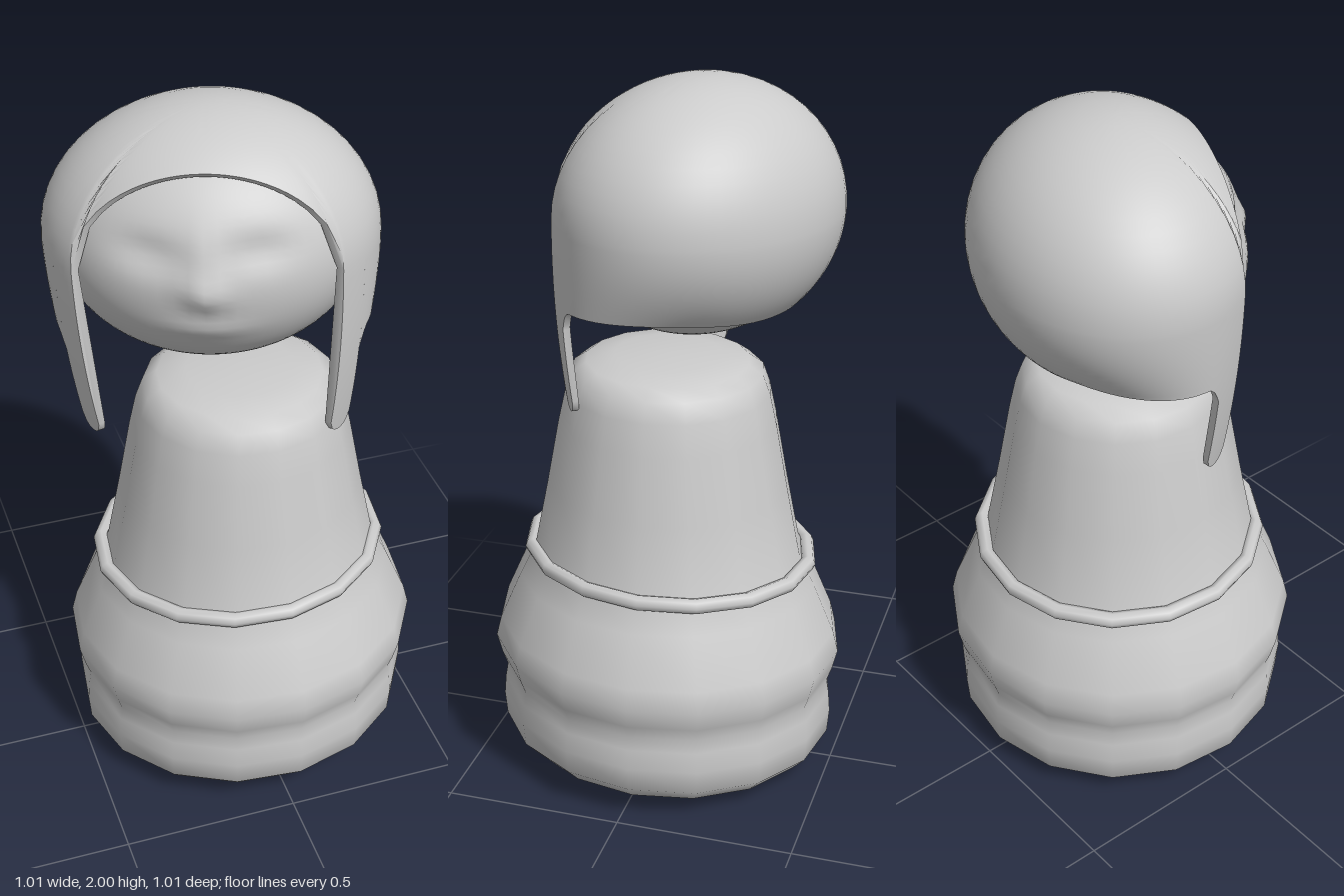
import * as THREE from 'three';
import { mergeVertices, toCreasedNormals } from 'three/addons/utils/BufferGeometryUtils.js';

const material = new THREE.MeshStandardMaterial({ color: 0xcccccc });
const { lerp, smoothstep, degToRad } = THREE.MathUtils;

function part(name, geometry) {
  const mesh = new THREE.Mesh(geometry, material);
  mesh.name = name;
  return mesh;
}

// Move every vertex of a geometry by a rule
function deform(geometry, rule) {
  const pos = geometry.attributes.position;
  const v = new THREE.Vector3();
  for (let i = 0; i < pos.count; i++) {
    rule(v.fromBufferAttribute(pos, i));
    pos.setXYZ(i, v.x, v.y, v.z);
  }
  return geometry;
}

// Weld seams and recompute smooth normals
function smooth(geometry) {
  geometry.deleteAttribute('uv');
  geometry.deleteAttribute('normal');
  const welded = mergeVertices(geometry, 1e-4);
  welded.computeVertexNormals();
  return welded;
}

// The robe leans slightly, less towards the shoulders
const lean = (v) => { v.y += 0.04 * (v.x + v.z) * Math.max(0, 1 - v.y / 1.5); };

function robe() {
  const profile = [
    [0, 0.012], [0.2, 0.015], [0.38, 0.025], [0.44, 0.045], [0.482, 0.09], [0.488, 0.16],
    [0.483, 0.22], [0.476, 0.26], [0.49, 0.3], [0.505, 0.36], [0.49, 0.42], [0.43, 0.56],
    [0.385, 0.65], [0.345, 0.85], [0.31, 1.04], [0.29, 1.13], [0.27, 1.185], [0.23, 1.213],
    [0.15, 1.228], [0, 1.235],
  ].map(([r, y]) => new THREE.Vector2(r, y));
  return smooth(deform(new THREE.LatheGeometry(profile, 16, 0.06), lean));
}

function belt() {
  const ring = new THREE.TorusGeometry(0.4, 0.022, 8, 16).rotateX(Math.PI / 2).rotateY(0.06);
  ring.translate(-0.005, 0.637, -0.008);
  return deform(ring, (v) => { v.y += 0.045 * (v.x + v.z); });
}

// Head with a small nose, lips and shallow eye sockets
function head() {
  const bump = (v, x, y, sx, sy) => Math.exp(-(((v.x - x) / sx) ** 2) - ((v.y - y) / sy) ** 2);
  const g = new THREE.SphereGeometry(1, 64, 48).scale(0.415, 0.335, 0.345);
  g.translate(0, -0.005, 0);
  return smooth(deform(g, (v) => {
    if (v.z <= 0) return;
    v.z += 0.028 * bump(v, 0, -0.005, 0.05, 0.045) + 0.012 * bump(v, 0, 0.07, 0.035, 0.08);
    v.z += 0.012 * bump(v, 0, -0.12, 0.1, 0.03);
    for (const s of [-1, 1]) v.z -= 0.022 * bump(v, s * 0.14, 0.09, 0.085, 0.045);
  }));
}

// Hair: a thick shell, open over the face, with a long lock on each side of it
function hair() {
  const W = 0.45, H = 0.36, D = 0.37, opening = 0.235;
  const faceEdge = Math.acos(opening / D);
  const lockEnd = faceEdge + degToRad(13);

  // Columns run round the head: angle, end of the upper arc, depth of the lower edge
  const half = [];
  for (let i = 0; i <= 14; i++) {
    const a = faceEdge * i / 14;
    half.push({ a, arc: Math.asin(Math.min(1, opening / (D * Math.cos(a)))), drop: 0 });
  }
  half[14].arc = Math.PI / 2;
  for (let i = 0; i <= 8; i++) {
    const s = i / 8;
    const tip = 0.04 * (1 - Math.sqrt(Math.max(0, 1 - (2 * s - 1) ** 2)));
    half.push({ a: lerp(faceEdge, lockEnd, s), arc: Math.PI / 2, drop: 0.535 - tip });
  }
  for (let i = 0; i <= 26; i++) {
    const a = lerp(lockEnd, Math.PI, (i / 26) ** 1.4);
    const fillet = 0.06 * Math.max(0, 1 - (a - lockEnd) / 0.12) ** 2;
    half.push({ a, arc: Math.PI / 2, drop: 0.225 + 0.025 * smoothstep(a, 1.7, 3) + fillet });
  }
  const mirrored = half.slice(1, -1).reverse().map((c) => ({ ...c, a: 2 * Math.PI - c.a }));
  const columns = [...half, ...mirrored];

  const rows = 28;
  const point = (c, row, inner) => {
    const s = row / rows;
    const theta = c.arc * Math.min(1, 2 * s);
    let r = Math.sin(theta), y = H * Math.cos(theta);
    if (s > 0.5 && c.drop > 0) {
      y = -c.drop * (2 * s - 1);
      const t = -y / H;
      const side = Math.min(c.a, 2 * Math.PI - c.a);
      const straight = 1 - smoothstep(side, degToRad(66), degToRad(135));
      r = lerp(Math.sqrt(Math.max(0, 1 - t * t)), 1 - 0.05 * t * t, straight);
    }
    const k = inner ? 0.95 : 1;
    return [W * r * k * Math.sin(c.a), y > 0 ? y * k : y, D * r * k * Math.cos(c.a)];
  };

  // Each column goes down the outside and back up the inside
  const positions = [], index = [];
  const n = 2 * (rows + 1);
  for (const c of columns) {
    for (let i = 0; i <= rows; i++) positions.push(...point(c, i, false));
    for (let i = rows; i >= 0; i--) positions.push(...point(c, i, true));
  }
  for (let j = 0; j < columns.length; j++) {
    const right = ((j + 1) % columns.length) * n;
    for (let i = 0; i < n - 1; i++) {
      const a = j * n + i, b = right + i;
      index.push(a, a + 1, b, a + 1, b + 1, b);
    }
  }
  const g = new THREE.BufferGeometry();
  g.setAttribute('position', new THREE.Float32BufferAttribute(positions, 3));
  g.setIndex(index);
  return toCreasedNormals(g, 0.8);
}

export function createModel() {
  const model = new THREE.Group();
  model.name = 'figurine';
  model.add(part('robe', robe()), part('belt', belt()));

  // The head floats above the robe, turned and tipped a little to its right
  const headGroup = new THREE.Group();
  headGroup.name = 'headGroup';
  headGroup.position.set(-0.055, 1.64, -0.075);
  headGroup.rotation.set(0, -0.35, 0.03, 'YXZ');
  headGroup.add(part('head', head()), part('hair', hair()));
  model.add(headGroup);
  return model;
}
